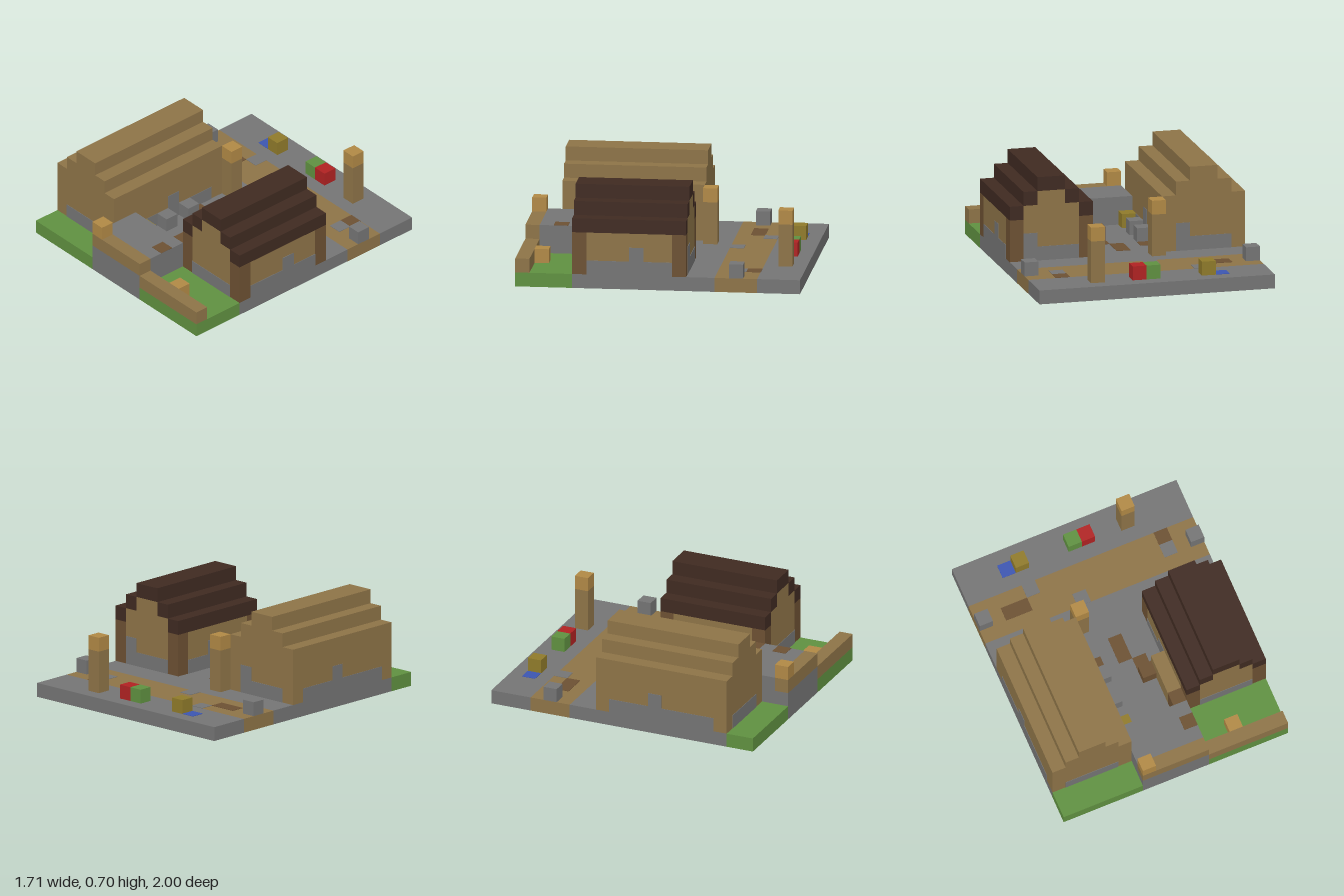
import * as THREE from 'three';

const paint = (name, color) => Object.assign(new THREE.MeshStandardMaterial({ color }), { name });

export function createModel() {
  const model = new THREE.Group();
  model.name = 'village';
  const stone = paint('stone', 0x747474);
  const wood = paint('wood', 0x8d7347);
  const bark = paint('bark', 0x6c5032);
  const roof = paint('dark roof', 0x3f2a21);
  const lamp = paint('lamp', 0xb08845);
  const grass = paint('grass', 0x5f9040);
  const red = paint('red', 0xb02222);
  const blue = paint('blue', 0x3c55b0);
  const olive = paint('olive', 0x8f7a2a);

  // Box given by its minimum and maximum on each axis
  function box(name, mat, x0, x1, y0, y1, z0, z1, parent = model) {
    const mesh = new THREE.Mesh(new THREE.BoxGeometry(x1 - x0, y1 - y0, z1 - z0), mat);
    mesh.position.set((x0 + x1) / 2, (y0 + y1) / 2, (z0 + z1) / 2);
    mesh.name = name;
    parent.add(mesh);
  }
  // One cube of the grid standing on the ground
  const cube = (name, mat, x, z) => box(name, mat, x - 0.05, x + 0.05, 0.1, 0.2, z - 0.05, z + 0.05);
  // Flush ground patch, seen from above and from below
  const T = 0.003;
  function patch(name, mat, x0, x1, z0, z1) {
    box(name, mat, x0, x1, 0.1, 0.1 + T, z0, z1);
    box(name + 'Underside', mat, x0, x1, 0, T, z0, z1);
    model.children.at(-1).position.y = -T / 4;
  }

  // Ground slab
  box('backPavement', stone, -0.85, 0.85, 0, 0.1, -1, -0.7);
  box('dirtRoad', wood, -0.85, 0.85, 0, 0.1, -0.7, -0.4);
  box('middlePavement', stone, -0.85, 0.85, 0, 0.1, -0.4, 0.6);
  box('rightPavement', stone, -0.85, -0.25, 0, 0.1, 0.6, 0.8);
  box('frontPavement', stone, -0.25, 0.25, 0, 0.1, 0.6, 1);
  box('rightLawn', grass, -0.85, -0.25, 0, 0.1, 0.8, 1);
  box('leftLawn', grass, 0.25, 0.85, 0, 0.1, 0.6, 1);

  // Patches in the road and path
  patch('roadStone', stone, -0.45, -0.35, -0.7, -0.6);
  patch('roadStone', stone, -0.15, -0.05, -0.5, -0.4);
  patch('roadStone', stone, 0.55, 0.65, -0.6, -0.5);
  patch('roadMud', bark, -0.65, -0.45, -0.6, -0.5);
  patch('roadMud', bark, 0.55, 0.65, -0.7, -0.6);
  patch('pathMud', bark, -0.05, 0.05, -0.1, 0.1);
  patch('pathMud', bark, 0.05, 0.15, 0.1, 0.2);
  patch('pathMud', bark, -0.25, -0.15, 0, 0.1);
  patch('puddle', blue, -0.55, -0.45, -0.9, -0.8);
  for (const [x, z] of [[0.2, 0.75], [0.1, 0.65], [-0.1, 0.65], [-0.2, 0.55]]) {
    box('undersideMud', bark, x - 0.05, x + 0.05, -0.001, T, z - 0.05, z + 0.05);
  }

  // Loose cubes
  cube('redCrate', red, 0.1, -0.85);
  cube('bush', grass, 0, -0.85);
  cube('backHay', olive, -0.4, -0.85);
  cube('pathHay', olive, -0.2, 0.55);
  cube('gardenCrate', lamp, 0.5, 0.85);
  for (const [x, z] of [[-0.8, -0.55], [0.8, -0.55], [-0.2, 0.15], [-0.2, 0.35]]) cube('rock', stone, x, z);

  // Lamp posts
  for (const [x, z] of [[-0.2, -0.25], [0.4, -0.85]]) {
    box('lampPost', wood, x - 0.05, x + 0.05, 0.1, 0.4, z - 0.05, z + 0.05);
    box('lampHead', lamp, x - 0.05, x + 0.05, 0.4, 0.5, z - 0.05, z + 0.05);
  }

  // Raised terrace, its side wall and the front wall
  box('terrace', stone, -0.25, 0.25, 0.1, 0.3, 0.6, 0.9);
  box('terraceMud', bark, 0.15, 0.25, 0.3, 0.3 + T, 0.7, 0.8);
  box('sideWall', wood, 0.15, 0.25, 0.1, 0.3, 0.2, 0.5);
  box('sideWallEnd', bark, 0.15, 0.25, 0.1, 0.3, 0.5, 0.6);
  box('step', bark, 0.05, 0.15, 0.1, 0.2, 0.2, 0.3);
  box('frontWallBase', stone, -0.25, 0.25, 0.1, 0.2, 0.9, 1);
  box('frontWall', wood, -0.25, 0.25, 0.2, 0.3, 0.9, 1);
  box('frontLamp', lamp, -0.25, -0.15, 0.3, 0.4, 0.9, 1);
  box('gardenWall', wood, 0.25, 0.85, 0.1, 0.2, 0.9, 1);

  // Stone footing on the four walls, with one raised stone on each
  function footing(house, cx, z0, z1) {
    const zm = (z0 + z1) / 2;
    for (const s of [-1, 1]) {
      const x = cx + s * 0.3, z = s > 0 ? z1 : z0;
      box('sideFooting', stone, x - T, x + T, 0.1, 0.2, z0 + 0.1, z1 - 0.1, house);
      box('sideStone', stone, x - T, x + T, 0.2, 0.3, zm - 0.1, zm, house);
      box('endFooting', stone, cx - 0.2, cx + 0.2, 0.1, 0.2, z - T, z + T, house);
    }
    box('backStone', stone, cx + 0.1, cx + 0.2, 0.2, 0.3, z0 - T, z0 + T, house);
  }

  // Plain wooden house with a stepped roof
  const barn = new THREE.Group();
  barn.name = 'woodenHouse';
  model.add(barn);
  [[0.3, 0.1, 0.5], [0.2, 0.5, 0.6], [0.1, 0.6, 0.7]].forEach(([w, y0, y1]) =>
    box('barnTier', wood, -0.55 - w, -0.55 + w, y0, y1, -0.2, 0.8, barn));
  footing(barn, -0.55, -0.2, 0.8);

  // House with dark roof and corner posts
  const cottage = new THREE.Group();
  cottage.name = 'darkRoofHouse';
  model.add(cottage);
  box('sideWalls', wood, 0.25, 0.85, 0.1, 0.4, -0.1, 0.5, cottage);
  for (const z of [-0.2, 0.5]) {
    box('endWall', wood, 0.35, 0.75, 0.1, 0.4, z, z + 0.1, cottage);
    for (const x of [0.25, 0.75]) box('cornerPost', bark, x, x + 0.1, 0.1, 0.4, z, z + 0.1, cottage);
  }
  box('lowerGable', wood, 0.35, 0.75, 0.4, 0.5, -0.2, 0.6, cottage);
  box('upperGable', wood, 0.45, 0.65, 0.5, 0.6, -0.2, 0.6, cottage);
  for (const [x0, x1, y] of [[0.25, 0.35, 0.4], [0.35, 0.45, 0.5], [0.45, 0.65, 0.6], [0.65, 0.75, 0.5], [0.75, 0.85, 0.4]]) {
    box('roofStep', roof, x0, x1, y, y + 0.1, -0.2, 0.6, cottage);
  }
  footing(cottage, 0.55, -0.2, 0.6);

  return model;
}
